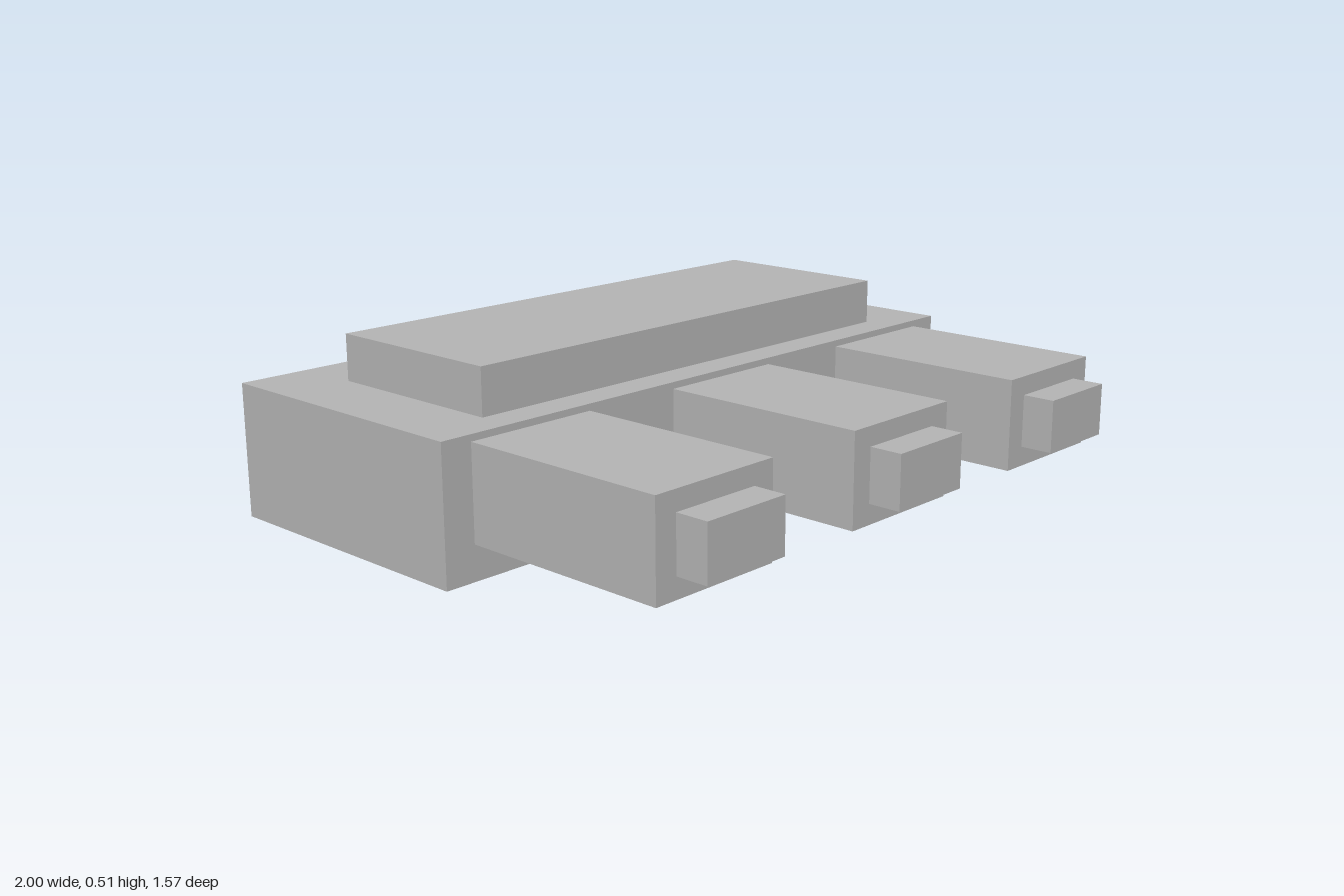
import * as THREE from 'three';

const grey = new THREE.MeshStandardMaterial({ color: 0xb4b4b4 });
grey.name = 'grey';

// Box given by its lower and upper corners
function block(name, [x0, y0, z0], [x1, y1, z1]) {
  const mesh = new THREE.Mesh(new THREE.BoxGeometry(x1 - x0, y1 - y0, z1 - z0), grey);
  mesh.position.set((x0 + x1) / 2, (y0 + y1) / 2, (z0 + z1) / 2);
  mesh.name = name;
  return mesh;
}

export function createModel() {
  const model = new THREE.Group();
  model.name = 'paw';

  // Main pad with a raised plate on top
  model.add(block('pad', [-1, 0, -0.785], [1, 0.38, 0.067]));
  model.add(block('topPlate', [-0.79, 0.38, -0.593], [0.787, 0.512, -0.03]));

  // Three toes, each tipped with a claw
  const toes = { rightToe: -0.71, middleToe: -0.002, leftToe: 0.706 };
  for (const [name, x] of Object.entries(toes)) {
    const toe = new THREE.Group();
    toe.name = name;
    toe.position.x = x;
    toe.add(block('toe', [-0.198, 0.098, 0.067], [0.198, 0.361, 0.69]));
    toe.add(block('claw', [-0.132, 0.155, 0.69], [0.132, 0.306, 0.785]));
    model.add(toe);
  }
  return model;
}
